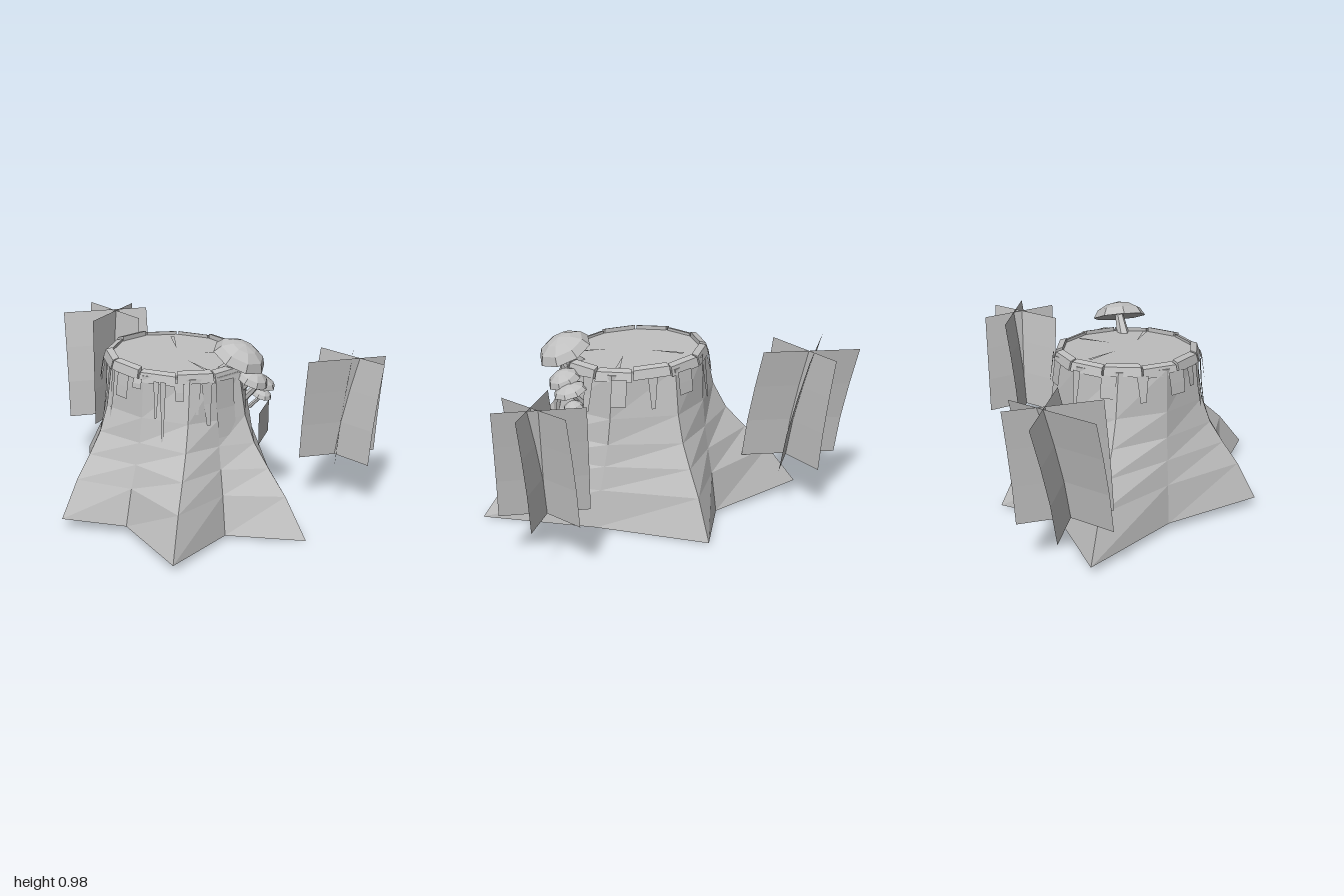
import * as THREE from 'three';

const bark = new THREE.MeshStandardMaterial({ color: 0xc0c0c0, flatShading: true, side: THREE.DoubleSide });
bark.name = 'plain grey';
const CX = -0.005, CZ = -0.02, RAD = Math.PI / 180;
const tilt = (x, z) => -0.06 * x - 0.015 * z; // the cut slopes down to the left side

function mesh(name, geometry, parent) {
  const m = new THREE.Mesh(geometry, bark);
  m.name = name;
  parent.add(m);
  return m;
}

function fromTriangles(triangles) {
  const g = new THREE.BufferGeometry();
  g.setAttribute('position', new THREE.Float32BufferAttribute(triangles.flat(2), 3));
  g.computeVertexNormals();
  return g;
}

// Skin closed rings of points and cap both ends with fans
function loft(rings) {
  const tris = [], n = rings[0].length;
  const middle = (ring) => [0, 1, 2].map((k) => ring.reduce((s, p) => s + p[k], 0) / n);
  const first = rings[0], last = rings[rings.length - 1];
  const c0 = middle(first), c1 = middle(last);
  for (let i = 0; i < n; i++) {
    const j = (i + 1) % n;
    for (let r = 0; r + 1 < rings.length; r++) {
      const a = rings[r][i], b = rings[r][j], c = rings[r + 1][j], d = rings[r + 1][i];
      tris.push([a, d, b], [b, d, c]);
    }
    tris.push([c0, first[i], first[j]], [c1, last[j], last[i]]);
  }
  return fromTriangles(tris);
}

// Skin open rows of points into a sheet
function sheet(rows) {
  const tris = [];
  for (let r = 0; r + 1 < rows.length; r++) {
    for (let i = 0; i + 1 < rows[r].length; i++) {
      const a = rows[r][i], b = rows[r][i + 1], c = rows[r + 1][i + 1], d = rows[r + 1][i];
      tris.push([a, b, c], [a, c, d]);
    }
  }
  return fromTriangles(tris);
}

const polar = (angle, r, y) => {
  const x = CX + r * Math.cos(angle * RAD), z = CZ + r * Math.sin(angle * RAD);
  return [x, y + tilt(x, z), z];
};

// Trunk: a star of roots narrowing to a round top
function buildTrunk(parent) {
  const roots = [
    [-0.05, 0.005, -0.73], [0.37, 0, -0.29], [0.84, 0, 0.11], [0.47, 0.02, 0.30], [0.43, 0.035, 0.76],
    [0, 0.045, 0.51], [-0.33, 0.055, 0.62], [-0.5, 0.045, 0.1], [-0.84, 0.04, -0.37], [-0.27, 0.015, -0.45],
  ];
  const topAngles = [-94, -44, 3, 27, 50, 86, 122, 160, 198, 232];
  const levels = [[0, 1], [0.21, 0.7], [0.34, 0.45], [0.46, 0.24], [0.6, 0.1], [0.835, 0]];
  const rings = levels.map(([y, spread]) => roots.map((p, i) => {
    const top = polar(topAngles[i], 0.385, 0.835), t = y / 0.835;
    return [
      top[0] + (p[0] - top[0]) * spread,
      p[1] + (top[1] - p[1]) * t,
      top[2] + (p[2] - top[2]) * spread,
    ];
  }));
  mesh('trunk', loft(rings), parent);
}

// Bark rim: twelve bevelled blocks with narrow gaps, and the cut face inside it
function buildRim(parent) {
  const profile = [[0.395, -0.035], [0.38, 0.012], [0.345, 0.022], [0.345, -0.03]];
  for (let i = 0; i < 12; i++) {
    const lift = 0.843 + 0.006 * Math.sin(i * 2.3);
    const section = (a) => profile.map(([r, y]) => polar(a, r, lift + y));
    mesh('barkRim', loft([section(i * 30 + 29.2), section(i * 30 + 0.8)]), parent);
  }
  const ring = (y) => Array.from({ length: 12 }, (_, i) => polar(i * 30, 0.35, y));
  mesh('cutFace', loft([ring(0.825), ring(0.845)]), parent);

  // Radial cracks as thin wedges
  const cracks = [[-0.17, -0.25, -0.05, -0.09], [0.21, -0.24, 0.1, -0.09], [0.28, 0.14, 0.1, 0.05]];
  for (const [x0, z0, x1, z1] of cracks) {
    const len = Math.hypot(x1 - x0, z1 - z0), nx = -(z1 - z0) / len * 0.012, nz = (x1 - x0) / len * 0.012;
    const at = (x, z) => [x, 0.851 + tilt(x, z), z];
    mesh('crack', fromTriangles([[at(x0 + nx, z0 + nz), at(x1, z1), at(x0 - nx, z0 - nz)]]), parent);
  }
}

// Hanging bark strips: angle, top width, bottom height, bottom width
function buildStrips(parent) {
  const strips = [
    [104, 0.08, 0.70, 0.08], [116, 0.03, 0.54, 0.01], [125, 0.04, 0.58, 0.01], [137, 0.05, 0.72, 0.04],
    [152, 0.1, 0.70, 0.09], [90, 0.05, 0.77, 0.05], [70, 0.03, 0.51, 0.01], [75, 0.03, 0.63, 0.01],
    [58, 0.05, 0.73, 0.04], [46, 0.06, 0.66, 0.02], [37, 0.06, 0.60, 0.02], [21, 0.12, 0.525, 0.12],
    [180, 0.06, 0.68, 0.03], [205, 0.08, 0.70, 0.08], [232, 0.05, 0.62, 0.02], [258, 0.09, 0.70, 0.09],
    [285, 0.05, 0.66, 0.02], [310, 0.08, 0.68, 0.08], [335, 0.06, 0.64, 0.03],
  ];
  for (const [angle, w, bottom, tip] of strips) {
    const row = (y, r, width) => [-1, 1].map((s) => polar(angle + s * width / r / RAD / 2, r, y));
    const mid = (0.82 + bottom) / 2;
    mesh('barkStrip', sheet([
      row(bottom, 0.405 + (0.82 - bottom) * 0.07, tip), row(mid, 0.405, (w + tip) / 2), row(0.82, 0.395, w),
    ]), parent);
  }
}

// Mushroom: faceted cap on a slanted stem
function buildMushroom(parent, foot, head, radius, height, lean) {
  const group = new THREE.Group();
  group.name = 'mushroom';
  const outline = [[0, 0.15], [1, 0], [0.82, 0.5], [0.45, 0.85], [0, 1]]
    .map(([r, y]) => new THREE.Vector2(r * radius, y * height));
  const cap = mesh('mushroomCap', new THREE.LatheGeometry(outline, 8), group);
  cap.position.set(...head);
  cap.rotation.z = lean;
  const a = new THREE.Vector3(...foot), b = new THREE.Vector3(...head);
  const stem = mesh('mushroomStem', new THREE.CylinderGeometry(radius * 0.16, radius * 0.24, a.distanceTo(b) + 0.02, 6), group);
  stem.position.copy(a).lerp(b, 0.5);
  stem.quaternion.setFromUnitVectors(new THREE.Vector3(0, 1, 0), b.sub(a).normalize());
  parent.add(group);
}

// Grass tuft: crossed leaves, each bending from its base centre to its top centre
function buildTuft(parent, bottom, top, leaves) {
  const group = new THREE.Group();
  group.name = 'grassTuft';
  for (const { base, tip, half: [hx, hz] } of leaves) {
    const rows = [0, 0.34, 0.67, 1].map((t) => {
      const bend = t ** 1.3, y = bottom + (top - bottom) * t;
      const x = base[0] + (tip[0] - base[0]) * bend, z = base[1] + (tip[1] - base[1]) * bend;
      return [[x - hx, y, z - hz], [x, y, z], [x + hx, y, z + hz]];
    });
    mesh('grassLeaf', sheet(rows), group);
  }
  parent.add(group);
}

export function createModel() {
  const model = new THREE.Group();
  model.name = 'treeStump';
  buildTrunk(model);
  buildRim(model);
  buildStrips(model);

  buildMushroom(model, [0.30, 0.81, 0.02], [0.385, 0.89, 0.015], 0.147, 0.085, -0.45);
  buildMushroom(model, [0.36, 0.70, -0.05], [0.425, 0.755, -0.06], 0.09, 0.06, -0.4);
  buildMushroom(model, [0.36, 0.64, -0.12], [0.43, 0.72, -0.135], 0.09, 0.045, -0.3);
  buildMushroom(model, [0.37, 0.58, -0.16], [0.43, 0.64, -0.17], 0.055, 0.04, -0.3);

  // Flat bracket leaf beside the small mushrooms
  mesh('bracketLeaf', sheet([
    [[0.5, 0.425, 0], [0.44, 0.425, -0.24]],
    [[0.5, 0.60, 0], [0.44, 0.60, -0.24]],
  ]), model);

  buildTuft(model, 0.26, 0.875, [
    { base: [-0.728, -0.449], tip: [-0.764, -0.565], half: [0.237, 0.098] },
    { base: [-0.72, -0.445], tip: [-0.812, -0.538], half: [0.178, -0.18] },
    { base: [-0.71, -0.47], tip: [-0.745, -0.52], half: [0.022, 0.245] },
  ]);
  buildTuft(model, 0.26, 0.82, [
    { base: [0.745, -0.485], tip: [0.785, -0.54], half: [0.213, 0.072] },
    { base: [0.74, -0.5], tip: [0.788, -0.47], half: [0.155, -0.16] },
    { base: [0.737, -0.505], tip: [0.8, -0.505], half: [0.073, 0.205] },
  ]);
  return model;
}
